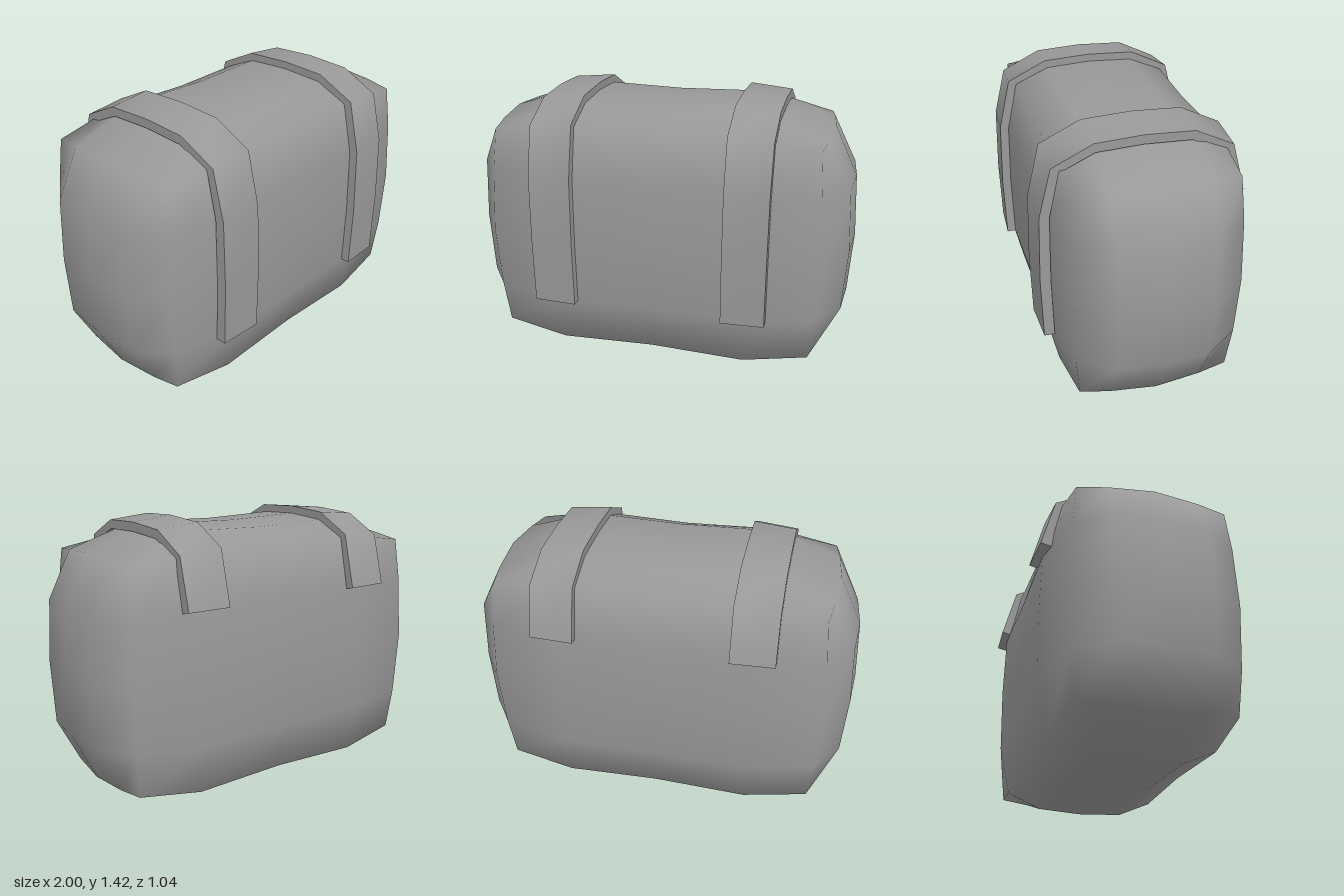
import * as THREE from 'three';
import { mergeVertices, toCreasedNormals } from 'three/addons/utils/BufferGeometryUtils.js';

const material = new THREE.MeshStandardMaterial({ color: 0x999999 });

// Per axis: inner grid line, then outer distance on a face, on an edge and at a corner,
// and how far a face falls away from its middle
const AXES = [
  { inner: 0.49, outer: [1.0, 0.86, 0.82], fall: 0.018 },
  { inner: 0.34, outer: [0.69, 0.6, 0.55], fall: 0.013 },
  { inner: 0.235, outer: [0.479, 0.413, 0.385], fall: 0.008 },
];

// Rounded, slightly waisted pouch: a 4x4x4 box grid pulled into a soft shape
function makeBody() {
  let geo = new THREE.BoxGeometry(4, 4, 4, 4, 4, 4);
  geo.deleteAttribute('uv');
  geo.deleteAttribute('normal');
  geo = mergeVertices(geo);
  const pos = geo.attributes.position;
  for (let i = 0; i < pos.count; i++) {
    const grid = [pos.getX(i), pos.getY(i), pos.getZ(i)].map(Math.round);
    const level = grid.map(Math.abs);
    const p = grid.map((g, a) => {
      if (level[a] === 0) return 0;
      const others = level.filter((_, b) => b !== a);
      const { inner, outer, fall } = AXES[a];
      let d = inner;
      if (level[a] === 2) {
        d = outer[others.filter((l) => l === 2).length];
        const across = a === 0 ? others : [level[3 - a]];
        d -= fall * across.filter((l) => l === 1).length;
        // waist at x = 0, tuck of the long edges at the ends
        if (a > 0 && level[0] === 0) d -= a === 1 ? 0.013 : 0.006;
        if (a === 1 && level[0] === 2 && level[2] < 2) d -= 0.022;
      } else if (a === 1 && level[0] === 2) d -= 0.015;
      return Math.sign(g) * d;
    });
    pos.setXYZ(i, p[0], p[1] + 0.69, p[2] - 0.005);
  }
  geo.computeVertexNormals();
  const mesh = new THREE.Mesh(geo, material);
  mesh.name = 'body';
  return mesh;
}

// Strap side profile as [z, y]: outer line front to back, then inner line back to front
const STRAP = [
  [0.512, 0.353], [0.52, 0.69], [0.51, 1.04], [0.447, 1.307], [0.243, 1.405], [0, 1.417],
  [-0.25, 1.405], [-0.45, 1.307], [-0.521, 1.037],
  [-0.465, 1.025], [-0.41, 1.277], [-0.235, 1.36], [0, 1.37],
  [0.235, 1.36], [0.41, 1.277], [0.46, 1.035], [0.466, 0.69], [0.458, 0.353],
];

// Strap folded over the top, leaning down towards the pouch's ends
function makeStrap(side) {
  const width = 0.22;
  const shape = new THREE.Shape(STRAP.map(([z, y]) => new THREE.Vector2(z, y)));
  const geo = new THREE.ExtrudeGeometry(shape, { depth: width, bevelEnabled: false });
  geo.rotateY(-Math.PI / 2);
  geo.translate(side * 0.496 + width / 2, 0, 0);
  const pos = geo.attributes.position;
  for (let i = 0; i < pos.count; i++) {
    const t = (Math.abs(pos.getX(i)) - 0.386) / width;
    const y = pos.getY(i);
    const drop = THREE.MathUtils.clamp((y - 1.03) / 0.3, 0, 1);
    pos.setY(i, y - 0.02 * t * drop);
    pos.setZ(i, pos.getZ(i) * (1 - 0.02 * t));
  }
  // smooth along the bends, sharp along the strap's borders
  const mesh = new THREE.Mesh(toCreasedNormals(geo, Math.PI / 3), material);
  mesh.name = side > 0 ? 'leftStrap' : 'rightStrap';
  return mesh;
}

export function createModel() {
  const group = new THREE.Group();
  group.name = 'strappedPouch';
  group.add(makeBody());
  for (const side of [1, -1]) group.add(makeStrap(side));
  return group;
}
